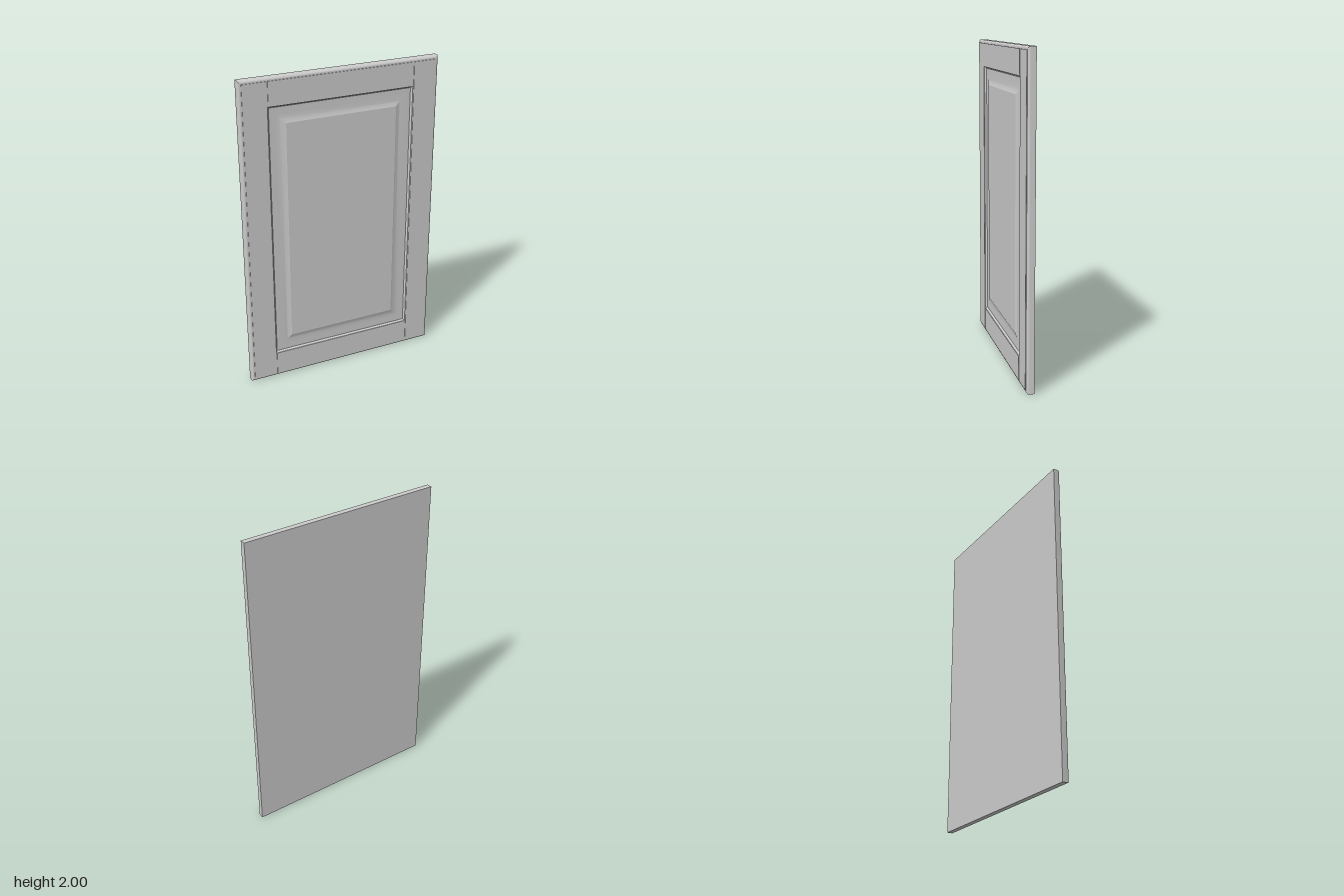
import * as THREE from 'three';
import { toCreasedNormals } from 'three/addons/utils/BufferGeometryUtils.js';

const HW = 0.64, HH = 1, BACK = -0.025, FRAME = 0.021, FRONT = 0.025;
const EDGE = 0.02, OPEN = 0.171, BASE = 0.01, FIELD = 0.021, FIELD_INSET = 0.282;

// Sweeps a profile of [inset, z] points round the door as mitred rectangles.
function mitredSweep(profile) {
  const corner = ([inset, z], c) => {
    const [sx, sy] = [[-1, -1], [1, -1], [1, 1], [-1, 1]][c % 4];
    return [sx * (HW - inset), HH + sy * (HH - inset), z];
  };
  const pos = [];
  for (let i = 0; i < profile.length - 1; i++) {
    for (let c = 0; c < 4; c++) {
      const a = corner(profile[i], c), b = corner(profile[i], c + 1);
      const d = corner(profile[i + 1], c + 1), e = corner(profile[i + 1], c);
      pos.push(...a, ...b, ...d, ...a, ...d, ...e);
    }
  }
  const geo = new THREE.BufferGeometry();
  geo.setAttribute('position', new THREE.Float32BufferAttribute(pos, 3));
  return toCreasedNormals(geo, 0.3);
}

export function createModel() {
  const group = new THREE.Group();
  const material = new THREE.MeshStandardMaterial({ color: 0xcccccc });
  const add = (name, geo, x = 0, y = 0, z = 0) => {
    const mesh = new THREE.Mesh(geo, material);
    mesh.name = name;
    mesh.position.set(x, y, z);
    group.add(mesh);
    return mesh;
  };

  // Square sides with a rounded front edge
  const edge = [[0, BACK]];
  for (let i = 0; i <= 8; i++) {
    const t = (i / 8) * Math.PI / 2;
    edge.push([0.016 * (1 - Math.cos(t)), 0.007 + 0.014 * Math.sin(t)]);
  }
  edge.push([EDGE, FRAME]);
  add('outerEdge', mitredSweep(edge));

  // Frame bed and the bevel down into the opening
  add('openingBevel', mitredSweep([[EDGE, FRAME], [OPEN, FRAME], [OPEN + 0.01, BASE]]));

  // Panel border, then a cove rising to the raised field
  const cove = [[OPEN + 0.01, BASE]];
  for (let i = 0; i <= 8; i++) {
    const t = i / 8;
    cove.push([0.225 + (FIELD_INSET - 0.225) * t, BASE + (FIELD - BASE) * t * t]);
  }
  add('panelCove', mitredSweep(cove));
  add('raisedField', new THREE.PlaneGeometry(2 * (HW - FIELD_INSET), 2 * (HH - FIELD_INSET)), 0, HH, FIELD);

  // Flat back
  add('backFace', new THREE.PlaneGeometry(2 * HW, 2 * HH), 0, HH, BACK).rotation.y = Math.PI;

  // Stiles and rails, parted by a narrow groove
  const layer = FRONT - FRAME, z = (FRONT + FRAME) / 2;
  const stileIn = HW - OPEN + 0.005, stileOut = HW - EDGE;
  const railIn = HH - OPEN, railOut = HH - EDGE;
  for (const s of [-1, 1]) {
    add(s > 0 ? 'leftStile' : 'rightStile',
      new THREE.BoxGeometry(stileOut - stileIn, 2 * railOut, layer), s * (stileIn + stileOut) / 2, HH, z);
    add(s > 0 ? 'topRail' : 'bottomRail',
      new THREE.BoxGeometry(2 * (stileIn - 0.009), railOut - railIn, layer), 0, HH + s * (railIn + railOut) / 2, z);
  }
  return group;
}
